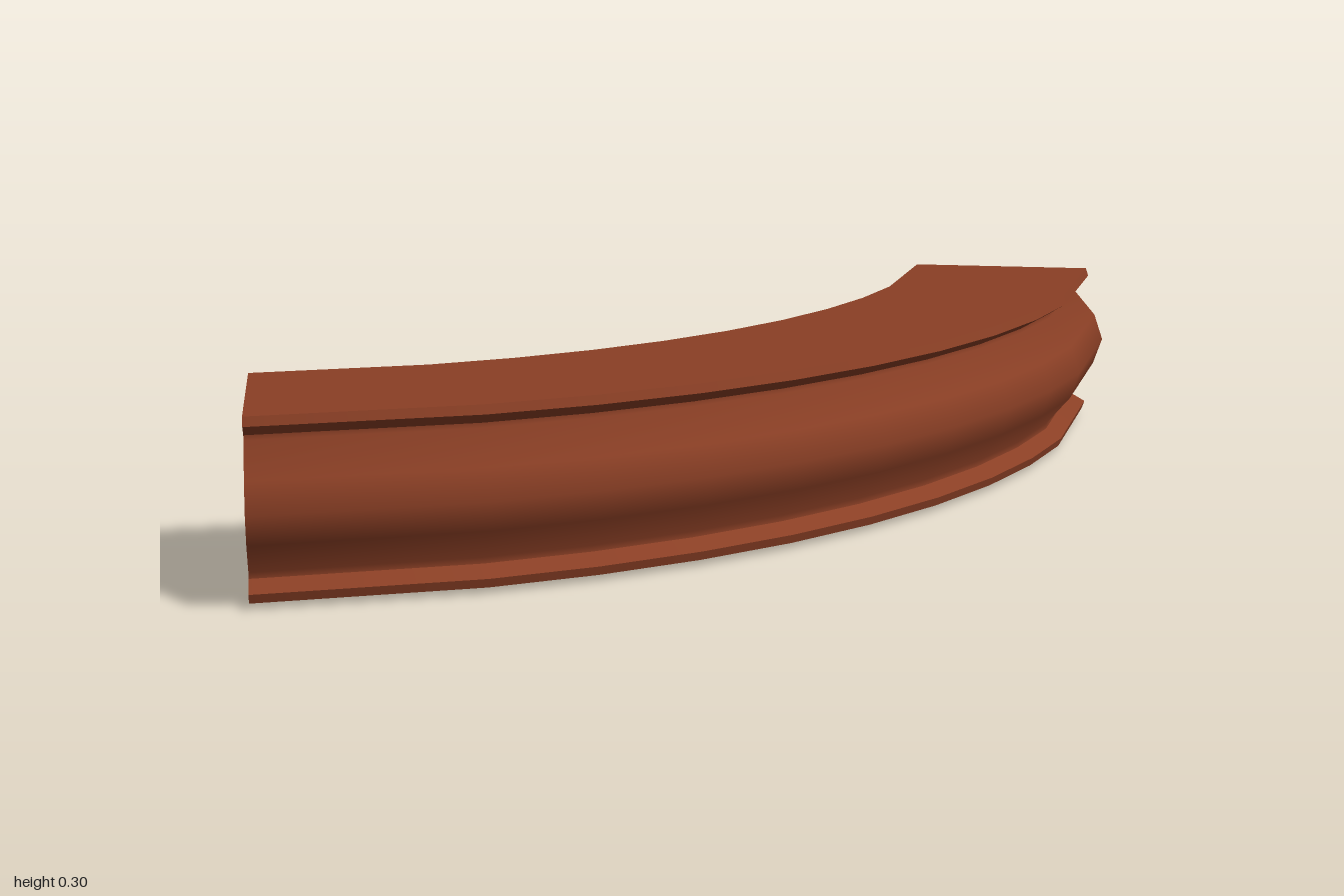
import * as THREE from 'three';

const DEG = Math.PI / 180;
const CENTRE = { x: -1.286, z: -0.442 };
const INNER = 1.388;
const START = -18.4, STEP = 73 / 12;

// Bend stations: long end facets, finer ones between
const stations = [0, 2, 3, 4, 5, 6, 7, 8, 9, 10, 12].map((i) => START + i * STEP);

// Point on the faceted bend, keeping extra cuts on the straight chords
function place(r, y, a) {
  let i = 0;
  while (i < stations.length - 2 && a > stations[i + 1] + 1e-6) i++;
  const mid = (stations[i] + stations[i + 1]) / 2;
  const half = (stations[i + 1] - stations[i]) / 2;
  const k = Math.cos(half * DEG) / Math.cos((a - mid) * DEG);
  return [CENTRE.x + r * k * Math.cos(a * DEG), y, CENTRE.z + r * k * Math.sin(a * DEG)];
}

// Cross-section (radius, height), counter-clockwise
function railProfile({ socket, recess, pocket }) {
  const grooveIn = pocket ? 1.49 : 1.56;
  const grooveTop = pocket ? 0.1 : 0.052;
  const points = [
    [INNER, 0.01], [grooveIn, 0.01], [grooveIn, grooveTop], [1.612, grooveTop], [1.612, 0.01],
    // moulded outer side
    [1.731, 0.01], [1.736, 0.025], [1.706, 0.042], [1.706, 0.052],
    [1.751, 0.105], [1.768, 0.155], [1.751, 0.205],
    [1.706, 0.258], [1.706, 0.266], [1.736, 0.285], [1.731, 0.3],
    // upper slot on the inner side
    [INNER, 0.3], [INNER, 0.263], [1.471, 0.263],
  ];
  if (recess) points.push([1.471, 0.15], [INNER, 0.15]);
  else points.push([1.471, 0.213], [INNER, 0.213]);
  if (socket) points.push([INNER, 0.178], [1.638, 0.178], [1.638, 0.13], [INNER, 0.13]);
  return points;
}

// Sweep a closed profile between two angles, with end caps
function sweep(profile, from, to) {
  const n = profile.length;
  const pos = [], nor = [];
  const angles = [from, ...stations.filter((a) => a > from + 0.01 && a < to - 0.01), to];
  const edgeNormals = profile.map((p, i) => {
    const q = profile[(i + 1) % n];
    return new THREE.Vector2(q[1] - p[1], p[0] - q[0]).normalize();
  });
  // Smooth only across gentle profile corners
  const blend = (a, b) => (a.dot(b) > Math.cos(45 * DEG) ? a.clone().add(b).normalize() : a);
  const vertex = (p, m, a) => {
    pos.push(...place(p[0], p[1], a));
    nor.push(m.x * Math.cos(a * DEG), m.y, m.x * Math.sin(a * DEG));
  };
  for (let s = 0; s < angles.length - 1; s++) {
    const a = angles[s], b = angles[s + 1];
    for (let i = 0; i < n; i++) {
      const p = profile[i], q = profile[(i + 1) % n];
      const mp = blend(edgeNormals[i], edgeNormals[(i + n - 1) % n]);
      const mq = blend(edgeNormals[i], edgeNormals[(i + 1) % n]);
      vertex(p, mp, a); vertex(q, mq, a); vertex(q, mq, b);
      vertex(p, mp, a); vertex(q, mq, b); vertex(p, mp, b);
    }
  }
  const faces = THREE.ShapeUtils.triangulateShape(profile.map((p) => new THREE.Vector2(...p)), []);
  for (const [angle, sign] of [[from, -1], [to, 1]]) {
    for (const f of faces) {
      for (const i of sign > 0 ? f : [f[2], f[1], f[0]]) {
        pos.push(...place(profile[i][0], profile[i][1], angle));
        nor.push(-sign * Math.sin(angle * DEG), 0, sign * Math.cos(angle * DEG));
      }
    }
  }
  const g = new THREE.BufferGeometry();
  g.setAttribute('position', new THREE.Float32BufferAttribute(pos, 3));
  g.setAttribute('normal', new THREE.Float32BufferAttribute(nor, 3));
  return g;
}

export function createModel() {
  const group = new THREE.Group();
  group.name = 'curvedRail';
  const brown = new THREE.MeshStandardMaterial({ color: 0x8a3f25 });
  brown.name = 'reddish brown';
  const add = (name, geometry) => {
    const mesh = new THREE.Mesh(geometry, brown);
    mesh.name = name;
    group.add(mesh);
  };

  // Rail lengths, each with its own cut-outs
  const end = START + 73;
  const sections = [
    ['backSocketEnd', START, -14.8, { socket: true }],
    ['backRail', -14.8, -8.7, {}],
    ['recessedRail', -8.7, 1.4, { recess: true }],
    ['middleRail', 1.4, 13.2, {}],
    ['pocketRail', 13.2, 25.5, { pocket: true }],
    ['frontRail', 25.5, end - 3.6, {}],
    ['frontSocketEnd', end - 3.6, end, { socket: true }],
  ];
  for (const [name, from, to, cuts] of sections) add(name, sweep(railProfile(cuts), from, to));

  // Small raised lips under the rail, either side of the pocket
  const lip = [[1.45, 0.011], [1.48, 0], [1.52, 0], [1.54, 0.011]];
  add('backLip', sweep(lip, 7.2, 11.2));
  add('frontLip', sweep(lip, 25.6, 30));
  return group;
}
